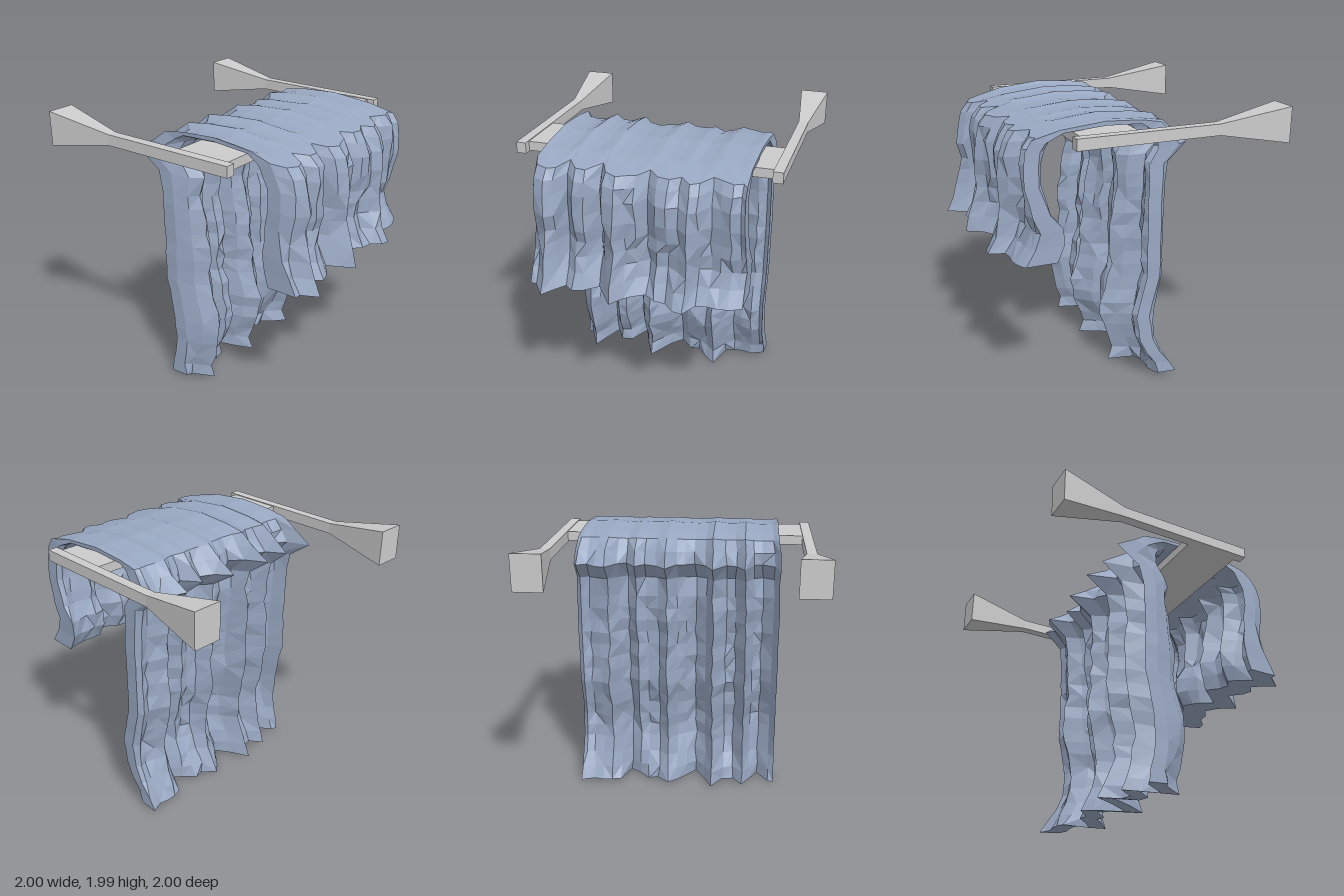
import * as THREE from 'three';

const grey = new THREE.MeshStandardMaterial({ color: 0xcccccc, flatShading: true });
const cloth = new THREE.MeshStandardMaterial({ color: 0x99a8c2, flatShading: true, side: THREE.DoubleSide });

// Pleats across the width: [x, fold near the shelf, fold near the hem],
// fold 0 = bulging forward, 1 = pinched backward
const PLEATS = [
  [-0.70, 0.95, 0.5], [-0.66, 0.25, 0.5], [-0.58, 0, 0], [-0.52, 0.15, 0.4], [-0.46, 0.95, 0.75], [-0.39, 0.3, 0.45],
  [-0.32, 0.25, 0.55], [-0.23, 1, 0.9], [-0.18, 0.3, 0.5], [-0.10, 0, 0], [-0.03, 0.2, 0.4], [0.03, 0.3, 0.7],
  [0.10, 0.88, 0.85], [0.17, 0.4, 0.6], [0.25, 0.3, 0.6], [0.32, 0.6, 0.3], [0.39, 0.1, 0.15], [0.45, 0.3, 0.7],
  [0.52, 0.9, 0.8], [0.59, 0.7, 0.75], [0.66, 0.5, 0.8], [0.72, 0.65, 0.85], [0.75, 0.4, 0.95],
];

// Outer face of the drape from front hem over the shelf to back hem, with its lining:
// [y, z bulge, z pinch, y and z step to the lining, share of the hem fold]
const DRAPE = [
  [1.02, 0.99, 0.80, 0.00, -0.22, 1],
  [1.13, 0.94, 0.73, 0.00, -0.20, 1],
  [1.24, 0.91, 0.68, 0.01, -0.16, 0.9],
  [1.35, 0.88, 0.70, 0.01, -0.12, 0.6],
  [1.44, 0.88, 0.71, 0.00, -0.11, 0.4],
  [1.56, 0.90, 0.73, 0.00, -0.10, 0.25],
  [1.70, 0.88, 0.73, 0.00, -0.10, 0.15],
  [1.80, 0.85, 0.70, -0.01, -0.10, 0],
  [1.87, 0.80, 0.66, -0.03, -0.09, 0],
  [1.915, 0.58, 0.50, -0.022, -0.02, 0],
  [1.945, 0.25, 0.21, -0.03, 0, 0],
  [1.93, 0.0, -0.05, -0.025, 0, 0],
  [1.905, -0.13, -0.21, -0.04, 0.08, 0],
  [1.83, -0.17, -0.31, -0.02, 0.10, 0],
  [1.745, -0.19, -0.46, -0.02, 0.16, 0],
  [1.62, -0.08, -0.29, 0.00, 0.11, 0.1],
  [1.48, -0.09, -0.26, 0.00, 0.10, 0.2],
  [1.10, -0.03, -0.27, 0.00, 0.10, 0.3],
  [0.80, -0.02, -0.28, 0.00, 0.10, 0.3],
  [0.50, 0.06, -0.22, 0.00, 0.10, 0.3],
  [0.32, 0.04, -0.22, 0.00, 0.10, 0.4],
  [0.20, 0.00, -0.26, 0.00, 0.10, 0.6],
  [0.10, -0.05, -0.30, 0.01, 0.11, 0.8],
  [0.01, -0.05, -0.35, 0.01, 0.14, 0.9],
];

// Repeatable noise in -1..1
function noise(i, j) {
  const s = Math.sin(i * 127.1 + j * 311.7) * 43758.5453;
  return (s - Math.floor(s)) * 2 - 1;
}

// Split long stretches of the drape into rows about 0.1 apart
function drapeRows() {
  const rows = [DRAPE[0]];
  for (let k = 1; k < DRAPE.length; k++) {
    const a = DRAPE[k - 1], b = DRAPE[k];
    const n = Math.max(1, Math.round(Math.abs(b[0] - a[0]) / 0.1));
    for (let s = 1; s <= n; s++) rows.push(a.map((v, m) => v + (b[m] - v) * s / n));
  }
  return rows;
}

// Thick cloth: each row is a closed ring, along the outer face and back along the lining
function drapedCloth() {
  const rows = drapeRows(), cols = PLEATS.length, ring = cols * 2;
  const positions = [], index = [];
  rows.forEach(([y, zOut, zIn, dy, dz, hemShare], j) => {
    const crumple = y < 1.85 ? 0.018 : 0;
    const widen = y > 1.88 ? 0.985 : 1 + 0.02 * Math.min(1, (1.88 - y) / 0.5);
    const outer = PLEATS.map(([x, foldTop, foldHem], i) => {
      const edge = i < 2 || i > cols - 3 ? 0.3 : 1;
      const fold = foldTop + (foldHem - foldTop) * hemShare;
      return [
        x * widen + noise(i, j + 50) * crumple * 0.5 * edge,
        y + 0.026 * fold,
        zOut + (zIn - zOut) * fold + noise(i, j) * crumple * edge,
      ];
    });
    const lining = outer.map(([x, py, z]) => [x, py + dy, z + dz]).reverse();
    positions.push(...outer.flat(), ...lining.flat());
  });
  for (let j = 0; j < rows.length - 1; j++) {
    for (let i = 0; i < ring; i++) {
      const a = j * ring + i, b = j * ring + (i + 1) % ring, c = a + ring, d = b + ring;
      if ((i + j) % 3) index.push(a, b, d, a, d, c);
      else index.push(a, b, c, b, d, c);
    }
  }
  // Close both hems
  const last = (rows.length - 1) * ring;
  for (let i = 0; i < cols - 1; i++) {
    const o = i, p = i + 1, n = ring - 1 - i, m = n - 1;
    index.push(o, n, m, o, m, p);
    index.push(last + o, last + m, last + n, last + o, last + p, last + m);
  }
  const geometry = new THREE.BufferGeometry();
  geometry.setAttribute('position', new THREE.Float32BufferAttribute(positions, 3));
  geometry.setIndex(index);
  geometry.computeVertexNormals();
  return geometry;
}

// Slim bar whose rear half flares into a wall block
function armGeometry() {
  const geometry = new THREE.BoxGeometry(1, 1, 2, 1, 1, 2);
  const p = geometry.attributes.position;
  for (let i = 0; i < p.count; i++) {
    const z = p.getZ(i), flared = z < -0.5;
    p.setXYZ(i,
      p.getX(i) * (flared ? 0.205 : 0.07),
      flared ? 1.873 + p.getY(i) * 0.25 : 1.872 + p.getY(i) * 0.078,
      flared ? -1 : z > 0.5 ? 0.515 : -0.5);
  }
  geometry.computeVertexNormals();
  return geometry;
}

export function createModel() {
  const model = new THREE.Group();
  model.name = 'drapedShelf';
  const add = (name, geometry, material, x = 0, y = 0, z = 0) => {
    const mesh = new THREE.Mesh(geometry, material);
    mesh.name = name;
    mesh.position.set(x, y, z);
    model.add(mesh);
  };

  // Wall arms and the plank between them
  const arm = armGeometry();
  add('leftArm', arm, grey, 0.8975);
  add('rightArm', arm, grey, -0.8975);
  add('plank', new THREE.BoxGeometry(1.74, 0.066, 0.405), grey, 0, 1.872, 0.26);

  // Cloth hanging over the plank
  add('drapedCloth', drapedCloth(), cloth);
  return model;
}
